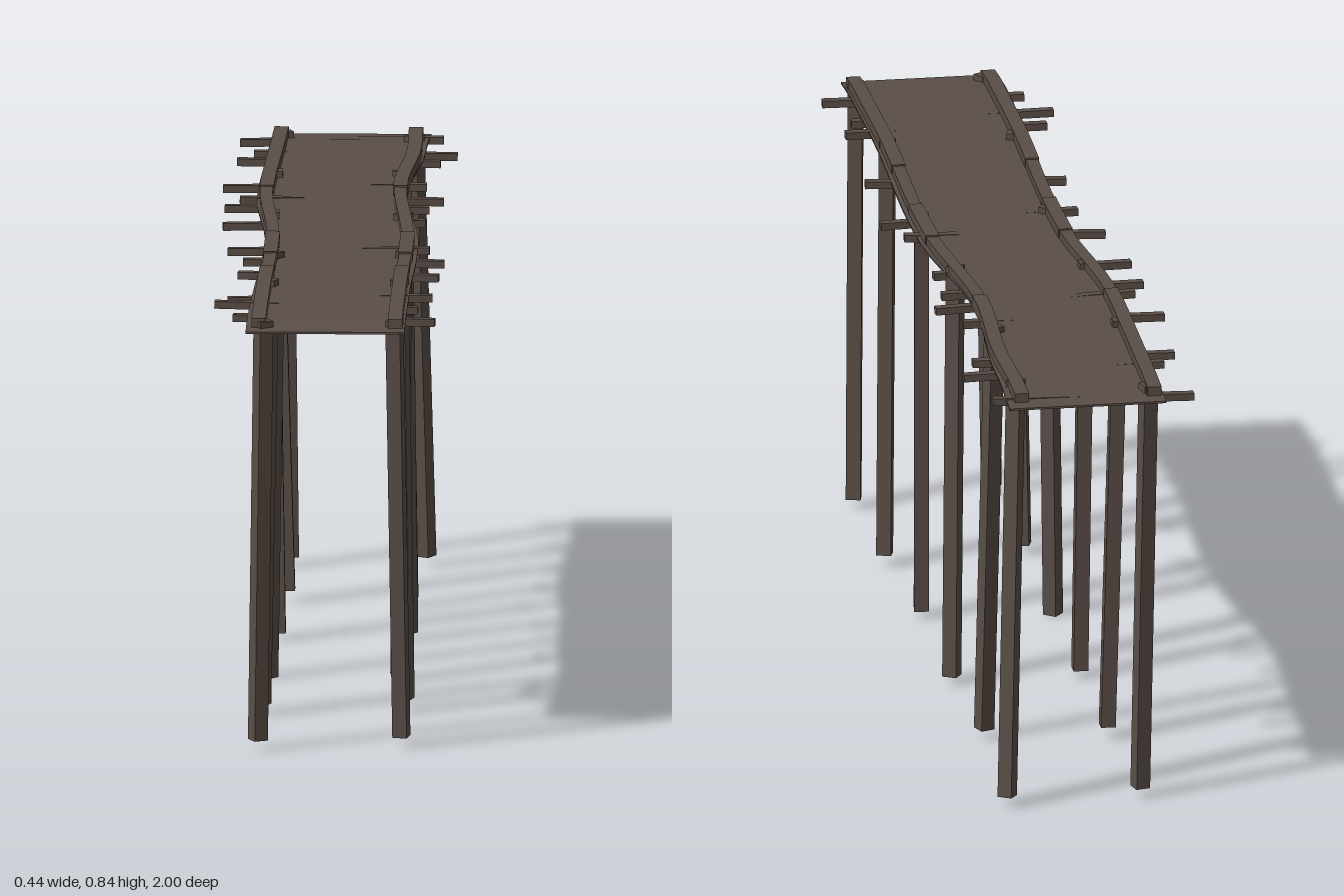
import * as THREE from 'three';

const wood = new THREE.MeshStandardMaterial({ color: 0x5a4e47 });
wood.name = 'weathered wood';
wood.flatShading = true;

// Smooth lookup through [z, value] points
function profile(points) {
  return z => {
    let i = 0;
    while (i < points.length - 2 && z > points[i + 1][0]) i++;
    const [z0, a] = points[i], [z1, b] = points[i + 1];
    const t = THREE.MathUtils.smoothstep(z, z0, z1);
    return a + (b - a) * t;
  };
}

const deckY = profile([[-1, 0.816], [-0.88, 0.824], [-0.5, 0.82], [0.2, 0.805], [0.6, 0.826], [0.9, 0.823], [1, 0.816]]);
const leftX = profile([[-1, 0.16], [-0.8, 0.155], [-0.4, 0.13], [0.08, 0.163], [1, 0.16]]);
const rightX = profile([[-1, -0.14], [-0.35, -0.153], [0.05, -0.128], [0.3, -0.13], [1, -0.14]]);
const leftRailX = profile([[-0.97, 0.132], [-0.75, 0.135], [-0.4, 0.117], [0.08, 0.142], [0.97, 0.142]]);
const rightRailX = profile([[-0.97, -0.122], [-0.35, -0.135], [0.05, -0.113], [0.3, -0.113], [0.97, -0.116]]);

// Sweeps a rectangular section along z; section(z) gives [x0, x1, y0, y1]
function sweep(name, z0, z1, steps, section) {
  const pos = [], index = [];
  for (let i = 0; i <= steps; i++) {
    const z = z0 + (z1 - z0) * i / steps;
    const [x0, x1, y0, y1] = section(z);
    pos.push(x0, y0, z, x1, y0, z, x1, y1, z, x0, y1, z);
    if (i === 0) continue;
    const a = (i - 1) * 4, b = i * 4;
    for (let k = 0; k < 4; k++) {
      const n = (k + 1) % 4;
      index.push(a + k, a + n, b + n, a + k, b + n, b + k);
    }
  }
  const e = steps * 4;
  index.push(0, 2, 1, 0, 3, 2, e, e + 1, e + 2, e, e + 2, e + 3);
  const indexed = new THREE.BufferGeometry();
  indexed.setAttribute('position', new THREE.Float32BufferAttribute(pos, 3));
  indexed.setIndex(index);
  const geo = indexed.toNonIndexed();
  geo.computeVertexNormals();
  const mesh = new THREE.Mesh(geo, wood);
  mesh.name = name;
  return mesh;
}

// Straight square timber between two points
function beam(name, a, b, w, h) {
  const from = new THREE.Vector3(...a), to = new THREE.Vector3(...b);
  const mesh = new THREE.Mesh(new THREE.BoxGeometry(w, h, from.distanceTo(to)), wood);
  mesh.position.copy(from).add(to).multiplyScalar(0.5);
  mesh.lookAt(to);
  mesh.name = name;
  return mesh;
}

export function createModel() {
  const model = new THREE.Group();
  model.name = 'footbridge';

  // Thin winding walkway
  model.add(sweep('deck', -1, 1, 40, z => [rightX(z), leftX(z), deckY(z) - 0.004, deckY(z)]));

  // Edge rails laid in lengths that butt together
  const railJoints = [-0.97, -0.37, 0.03, 0.23, 0.43, 0.97];
  for (const [name, x] of [['leftRail', leftRailX], ['rightRail', rightRailX]]) {
    for (let i = 0; i < railJoints.length - 1; i++) {
      const lift = i % 2 ? 0.015 : 0.018, half = i % 2 ? 0.012 : 0.0135;
      model.add(sweep(name, railJoints[i], railJoints[i + 1], 8,
        z => [x(z) - half, x(z) + half, deckY(z) - 0.006, deckY(z) + lift]));
    }
  }

  // Loose cross timbers: [right end x, z, left end x, z]
  const joists = [
    [-0.2, -0.95, 0.185, -0.945], [-0.17, -0.78, 0.215, -0.79], [-0.2, -0.72, 0.185, -0.71],
    [-0.22, -0.475, 0.165, -0.475], [-0.185, -0.34, 0.2, -0.365], [-0.212, -0.275, 0.175, -0.28],
    [-0.212, -0.13, 0.17, -0.155], [-0.197, 0.08, 0.185, 0.097], [-0.165, 0.21, 0.215, 0.195],
    [-0.17, 0.375, 0.21, 0.407], [-0.182, 0.682, 0.205, 0.67], [-0.205, 0.745, 0.18, 0.757],
    [-0.167, 0.858, 0.215, 0.885],
  ];
  joists.forEach(([xa, za, xb, zb], i) => {
    const tilt = ((i * 5) % 7 - 3) * 0.0012;
    model.add(beam('crossTimber', [xa, deckY(za) - 0.008 + tilt, za], [xb, deckY(zb) - 0.008 - tilt, zb], 0.018, 0.014));
  });

  // Leaning posts: [top x, top z, bottom x, bottom z, bottom y]
  const posts = [
    [0.14, 0.95, 0.152, 0.9, 0.02], [0.14, 0.575, 0.15, 0.545, 0.025], [0.138, 0.18, 0.13, 0.235, 0.015],
    [0.128, -0.155, 0.137, -0.17, 0.015], [0.116, -0.545, 0.13, -0.51, 0.02], [0.13, -0.885, 0.152, -0.92, 0.02],
    [-0.107, 0.96, -0.118, 0.94, 0.02], [-0.105, 0.585, -0.12, 0.58, 0.02], [-0.106, 0.195, -0.118, 0.21, 0.001],
    [-0.12, -0.17, -0.108, -0.17, 0.015], [-0.123, -0.545, -0.1, -0.545, 0.025], [-0.115, -0.94, -0.105, -0.905, 0.02],
  ];
  for (const [tx, tz, bx, bz, by] of posts) {
    model.add(beam(tx > 0 ? 'leftPost' : 'rightPost', [bx, by, bz], [tx, deckY(tz) + 0.012, tz], 0.028, 0.028));
  }
  return model;
}
